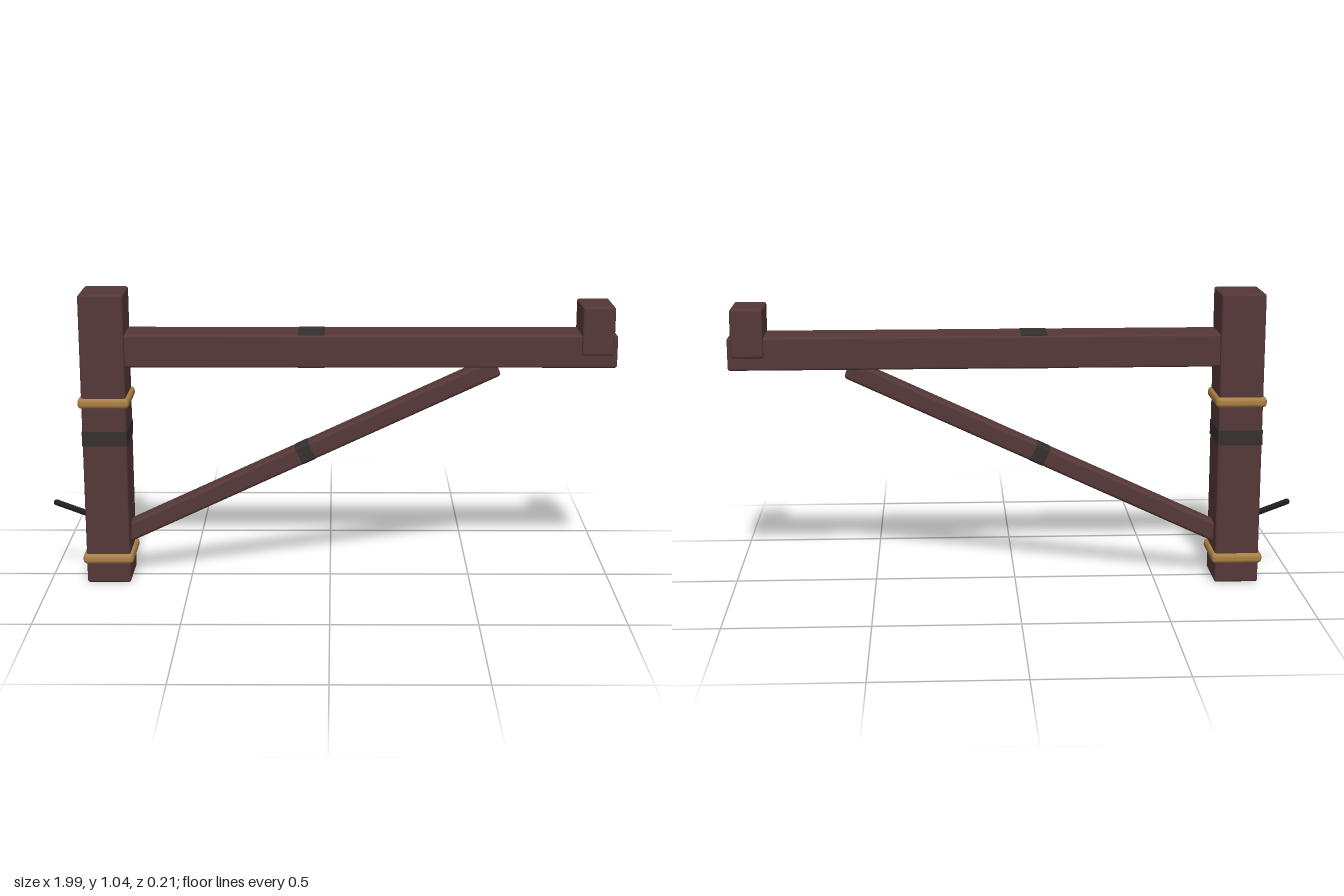
import * as THREE from 'three';
import { RoundedBoxGeometry } from 'three/addons/geometries/RoundedBoxGeometry.js';

const material = (name, color) => {
  const m = new THREE.MeshStandardMaterial({ color });
  m.name = name;
  return m;
};

export function createModel() {
  const model = new THREE.Group();
  const wood = material('dark red wood', 0x563838);
  const stain = material('dark stripe', 0x34302e);
  const brass = material('brass', 0xaa8045);
  const iron = material('black iron', 0x1f1f20);

  const add = (name, geometry, mat, x, y, z = 0, parent = model) => {
    const mesh = new THREE.Mesh(geometry, mat);
    mesh.name = name;
    mesh.position.set(x, y, z);
    parent.add(mesh);
    return mesh;
  };
  const block = (w, h, d, r = 0.008) => new RoundedBoxGeometry(w, h, d, 2, r);

  // Upright post with a painted stripe and two brass bands
  const postX = -0.79;
  add('post', block(0.155, 1.042, 0.186), wood, postX, 0.521);
  add('postStripe', new THREE.BoxGeometry(0.157, 0.054, 0.188), stain, postX, 0.532);
  for (const y of [0.09, 0.66]) {
    add('brassBand', block(0.18, 0.037, 0.21, 0.015), brass, postX, y);
  }

  // Horizontal beam, with stripes on its top and underside
  add('beam', block(1.74, 0.115, 0.157), wood, 0.125, 0.842);
  for (const y of [0.8995, 0.7845]) {
    add('beamStripe', new THREE.BoxGeometry(0.092, 0.002, 0.148), stain, -0.065, y);
  }

  // Raised stop at the beam's free end
  add('endStop', block(0.112, 0.17, 0.179), wood, 0.926, 0.915);

  // Rod along the underside, with a small brass ring
  const rod = add('undersideRod', new THREE.CylinderGeometry(0.008, 0.008, 1.64, 10), iron, 0.1, 0.783);
  rod.rotation.z = Math.PI / 2;
  const ring = add('rodRing', new THREE.CylinderGeometry(0.01, 0.01, 0.02, 12), brass, -0.2, 0.783);
  ring.rotation.z = Math.PI / 2;

  // Diagonal brace
  const start = new THREE.Vector2(-0.76, 0.149);
  const end = new THREE.Vector2(0.585, 0.778);
  const brace = new THREE.Group();
  brace.name = 'brace';
  brace.position.set((start.x + end.x) / 2, (start.y + end.y) / 2, 0);
  brace.rotation.z = end.clone().sub(start).angle();
  model.add(brace);
  add('braceBar', block(start.distanceTo(end), 0.067, 0.073, 0.012), wood, 0, 0, 0, brace);
  add('braceStripe', block(0.066, 0.069, 0.075, 0.012), stain, 0, 0, 0, brace);

  // Lever sticking out of the back of the post
  const lever = add('lever', new THREE.CapsuleGeometry(0.011, 0.16, 4, 10), iron, -0.907, 0.243);
  lever.rotation.z = Math.PI / 2 - 0.36;

  return model;
}
